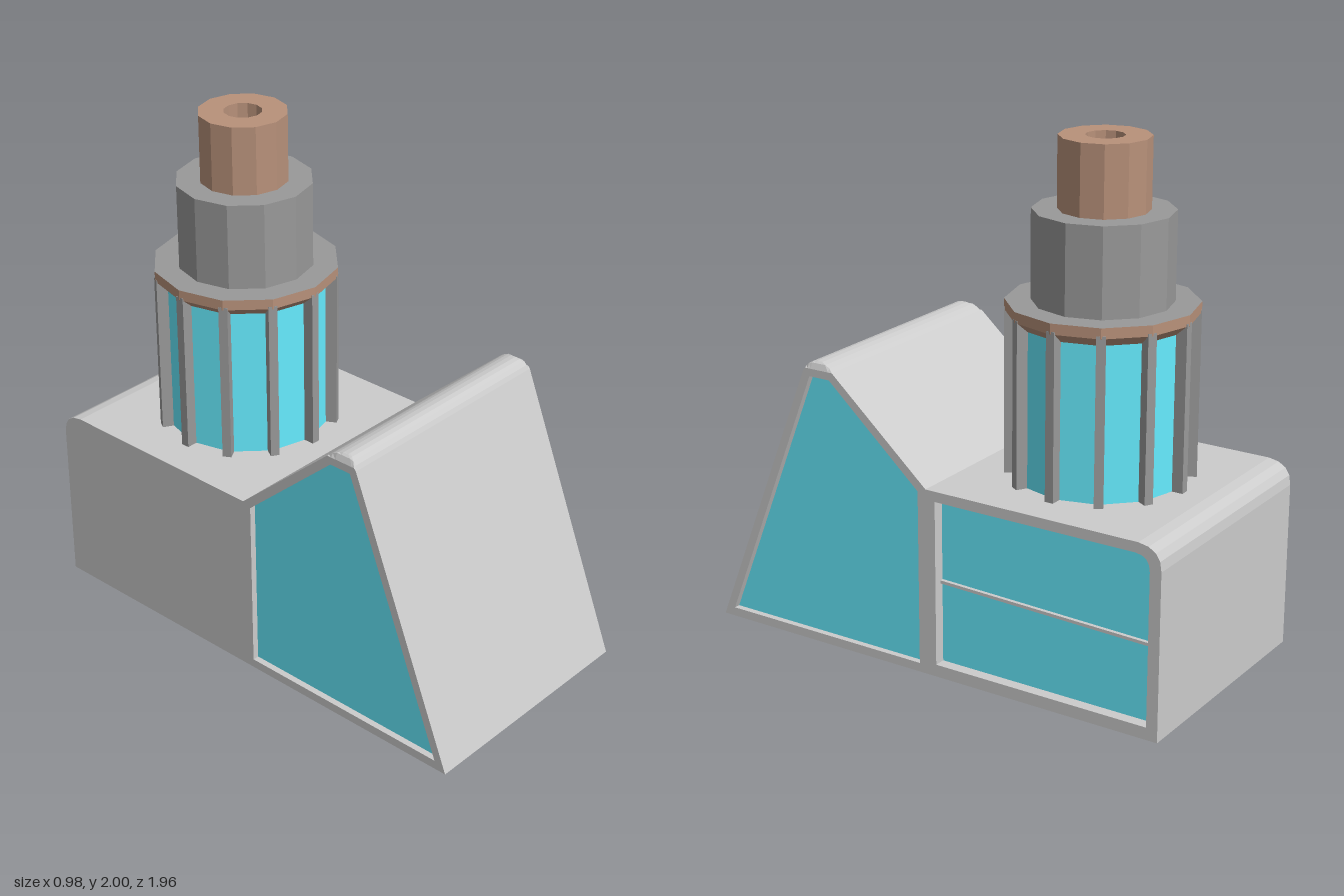
import * as THREE from 'three';

const material = (color) => new THREE.MeshStandardMaterial({ color, flatShading: true });
const HALF = 0.49, INNER = 0.44, TOWER_Z = -0.44, SIDES = 12;

// Extrudes a side-on outline (z, y) between two x positions
function slab(shape, x0, x1, steps = 1) {
  const g = new THREE.ExtrudeGeometry(shape, { depth: x1 - x0, steps, bevelEnabled: false, curveSegments: 4 });
  return g.rotateY(-Math.PI / 2).translate(x1, 0, 0);
}

// Side outline of the whole body: sloped nose, ridge, low rear with a rounded edge
function bodyShape() {
  const s = new THREE.Shape();
  s.moveTo(0.98, 0);
  s.lineTo(0.548, 1.09);
  s.quadraticCurveTo(0.534, 1.127, 0.495, 1.13);
  s.quadraticCurveTo(0.45, 1.13, 0.415, 1.1);
  s.lineTo(0, 0.735);
  s.lineTo(-0.885, 0.735);
  s.quadraticCurveTo(-0.977, 0.73, -0.977, 0.645);
  s.lineTo(-0.977, 0);
  s.closePath();
  return s;
}

// Outline of the pane under the ridge
function frontPane() {
  return new THREE.Shape([[0.93, 0.035], [0.52, 1.07], [0.43, 1.07], [0.035, 0.72], [0.035, 0.035]]
    .map(([z, y]) => new THREE.Vector2(z, y)));
}

// Outline of the rear pane with one rounded corner
function rearPane() {
  const s = new THREE.Shape();
  s.moveTo(-0.04, 0.048);
  s.lineTo(-0.04, 0.695);
  s.lineTo(-0.875, 0.695);
  s.quadraticCurveTo(-0.932, 0.692, -0.932, 0.635);
  s.lineTo(-0.932, 0.048);
  s.closePath();
  return s;
}

// Rounds off the two outer ends of the ridge
function roundRidge(g) {
  const p = g.attributes.position, r = 0.03;
  for (let i = 0; i < p.count; i++) {
    const over = Math.min(r, Math.max(0, Math.abs(p.getX(i)) - (HALF - r)));
    p.setY(i, Math.min(p.getY(i), 1.13 - r + Math.sqrt(r * r - over * over)));
  }
  g.computeVertexNormals();
  return g;
}

export function createModel() {
  const model = new THREE.Group();
  const wall = material(0xcccccc);
  const metal = material(0x999999);
  const glass = material(0x66ecff);
  const copper = material(0xb8917a);

  const add = (name, geometry, mat, parent = model) => {
    const mesh = new THREE.Mesh(geometry, mat);
    mesh.name = name;
    parent.add(mesh);
    return mesh;
  };

  // Body core and the framed side walls
  add('bodyCore', slab(bodyShape(), -INNER, INNER), wall);
  const leftFrame = bodyShape();
  leftFrame.holes.push(frontPane(), rearPane());
  add('leftWallFrame', roundRidge(slab(leftFrame, INNER, HALF, 5)), wall);
  const rightFrame = bodyShape();
  rightFrame.holes.push(frontPane());
  add('rightWallFrame', roundRidge(slab(rightFrame, -HALF, -INNER, 5)), wall);

  // Panes set into the walls
  add('leftFrontWindow', slab(frontPane(), INNER, 0.465), glass);
  add('rightFrontWindow', slab(frontPane(), -0.465, -INNER), glass);
  add('leftRearWindow', slab(rearPane(), INNER, 0.445), glass);

  // Slightly tilted bar across the rear window
  const bar = add('rearWindowBar', new THREE.BoxGeometry(0.02, 0.012, 0.89), wall);
  bar.position.set(0.45, 0.36, -0.486);
  bar.rotation.x = -0.025;

  // Round tower on the rear roof
  const tower = new THREE.Group();
  tower.name = 'tower';
  tower.position.z = TOWER_Z;
  model.add(tower);
  const lathe = (points) => new THREE.LatheGeometry(points.map(([r, y]) => new THREE.Vector2(r, y)), SIDES);

  add('towerGlass', lathe([[0.315, 0.73], [0.315, 1.34]]), glass, tower);
  add('towerEave', lathe([[0.31, 1.32], [0.355, 1.36], [0.355, 1.4]]), copper, tower);
  add('towerRoof', lathe([[0.355, 1.4], [0, 1.4]]), metal, tower);
  add('upperDrum', lathe([[0.26, 1.39], [0.26, 1.735], [0, 1.735]]), metal, tower);
  add('chimney', lathe([[0.168, 1.73], [0.168, 2], [0.072, 2], [0.072, 1.9], [0, 1.9]]), copper, tower);

  // Upright posts at the corners of the glass drum
  for (let i = 0; i < SIDES; i++) {
    const post = new THREE.BoxGeometry(0.034, 0.64, 0.05);
    post.translate(0, 1.05, 0.329).rotateY((i / SIDES) * Math.PI * 2);
    add('towerPost', post, metal, tower);
  }
  return model;
}
